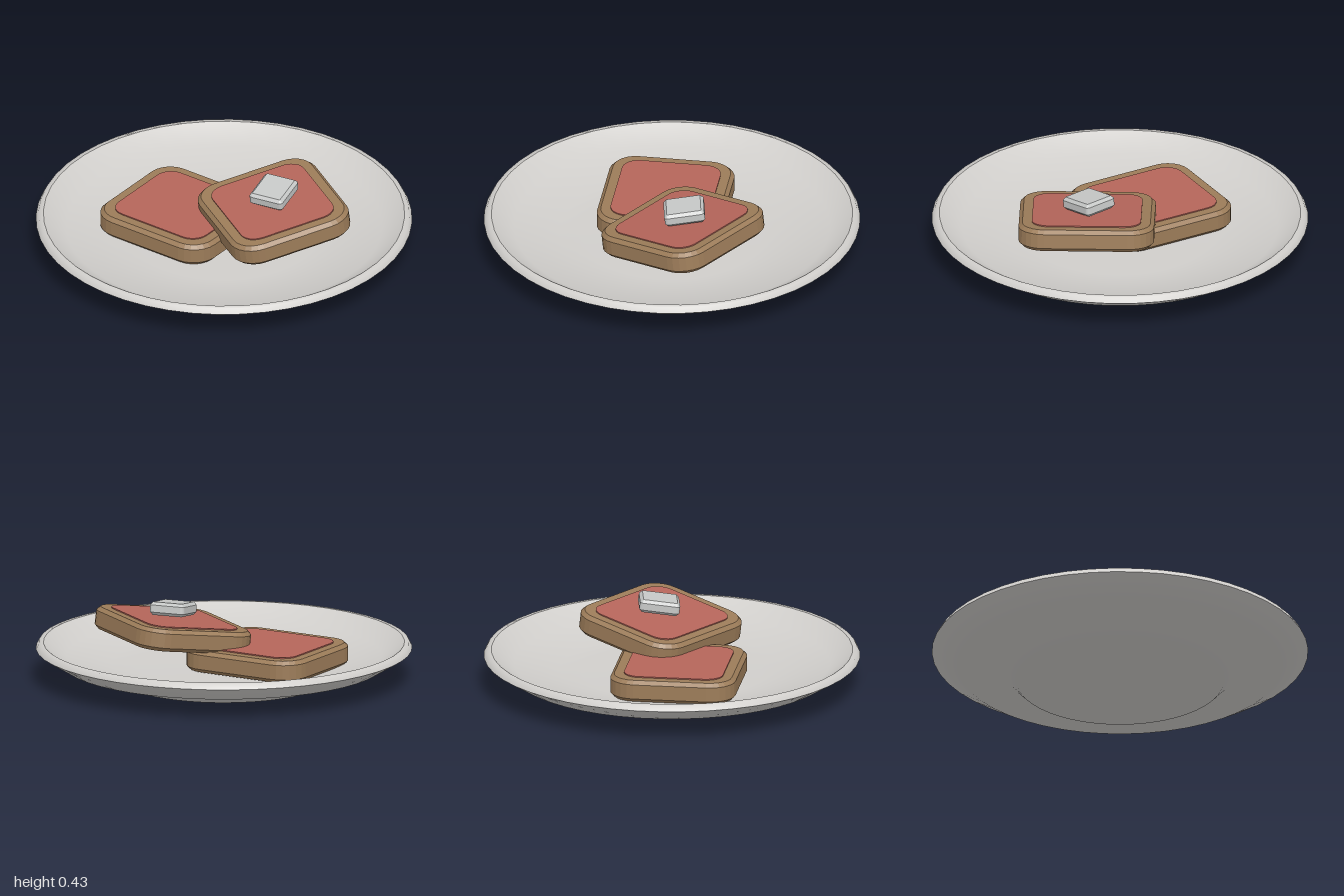
import * as THREE from 'three';

const mat = (name, color) => {
  const m = new THREE.MeshStandardMaterial({ color });
  m.name = name;
  return m;
};

// Rounded, chamfered slab centred on its origin, lying flat in xz
function slab(w, d, h, radius, bevel) {
  const x = w / 2 - bevel, z = d / 2 - bevel, r = radius;
  const s = new THREE.Shape();
  s.moveTo(-x + r, -z);
  s.lineTo(x - r, -z);
  s.absarc(x - r, -z + r, r, -Math.PI / 2, 0);
  s.lineTo(x, z - r);
  s.absarc(x - r, z - r, r, 0, Math.PI / 2);
  s.lineTo(-x + r, z);
  s.absarc(-x + r, z - r, r, Math.PI / 2, Math.PI);
  s.lineTo(-x, -z + r);
  s.absarc(-x + r, -z + r, r, Math.PI, Math.PI * 1.5);
  const g = new THREE.ExtrudeGeometry(s, {
    depth: h - 2 * bevel, curveSegments: 3, bevelEnabled: bevel > 0,
    bevelSize: bevel, bevelThickness: bevel, bevelSegments: 1,
  });
  g.rotateX(-Math.PI / 2);
  g.translate(0, bevel - h / 2, 0);
  return g;
}

export function createModel() {
  const model = new THREE.Group();
  model.name = 'toastPlate';
  const china = mat('china', 0xd0cecb);
  const crust = mat('crust', 0x9c7c59);
  const jam = mat('jam', 0xb5655a);
  const butter = mat('butter', 0xc6c8c7);

  const add = (parent, name, geometry, material) => {
    const mesh = new THREE.Mesh(geometry, material);
    mesh.name = name;
    parent.add(mesh);
    return mesh;
  };

  // Plate: separate lathes keep the rim edges crisp
  const plate = new THREE.Group();
  plate.name = 'plate';
  model.add(plate);
  const profiles = {
    plateUnderside: [[0, 0], [0.55, 0], [0.6, 0.05], [0.86, 0.09], [1, 0.175]],
    plateRim: [[1, 0.175], [0.985, 0.203], [0.96, 0.205]],
    plateDish: [[0.96, 0.205], [0.84, 0.13], [0.6, 0.09], [0.48, 0.08], [0, 0.08]],
  };
  for (const [name, pts] of Object.entries(profiles)) {
    add(plate, name, new THREE.LatheGeometry(pts.map(p => new THREE.Vector2(...p)), 48), china);
  }

  // Toast slices with a thin jam layer
  const T = 0.118;
  const toast = (name, pos, turn, tilt) => {
    const g = new THREE.Group();
    g.name = name;
    g.position.set(...pos);
    g.rotation.set(tilt, turn, 0, 'YXZ');
    add(g, 'bread', slab(0.72, 0.67, T, 0.12, 0.02), crust);
    add(g, 'jamLayer', slab(0.58, 0.53, 0.008, 0.09, 0), jam).position.y = T / 2 + 0.002;
    model.add(g);
  };
  toast('lowerToast', [-0.21, 0.147, 0.11], 0.19, 0);
  toast('upperToast', [0.235, 0.262, -0.145], -0.36, 0.14);

  // Butter pat
  const pat = add(model, 'butterPat', slab(0.195, 0.215, 0.07, 0.004, 0.016), butter);
  pat.position.set(0.228, 0.378, -0.15);
  pat.rotation.set(0.14, 0.37, 0, 'YXZ');

  return model;
}
